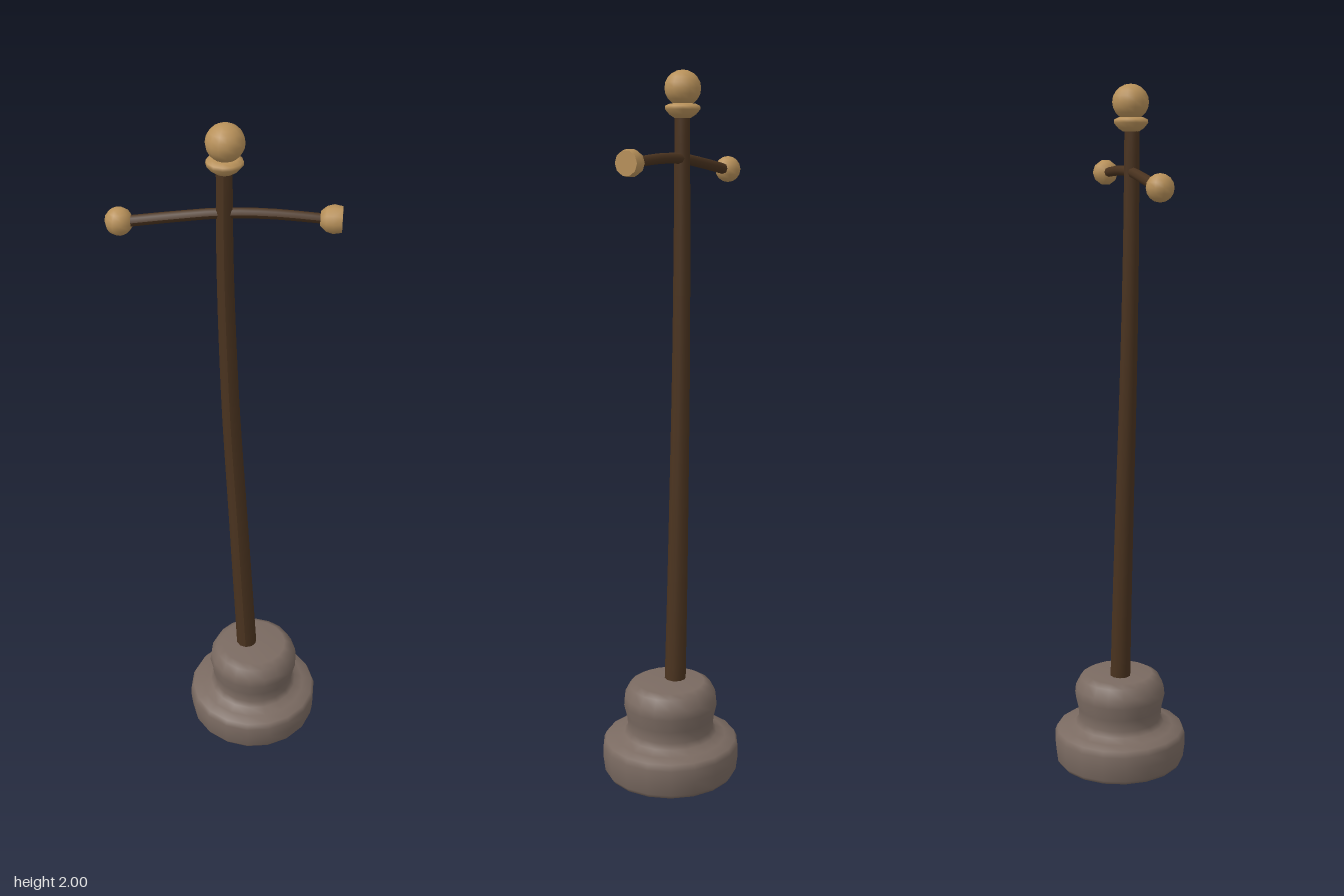
import * as THREE from 'three';

const paint = (name, color) => {
  const m = new THREE.MeshStandardMaterial({ color });
  m.name = name;
  return m;
};

const v2 = (pts) => pts.map(([r, y]) => new THREE.Vector2(r, y));
const v3 = (pts) => pts.map((p) => new THREE.Vector3(...p));

// Tube along a smooth path whose radius runs linearly from r0 to r1
function taperedTube(points, r0, r1, steps, sides) {
  const curve = new THREE.CatmullRomCurve3(v3(points));
  const geo = new THREE.TubeGeometry(curve, steps, 1, sides, false);
  const pos = geo.attributes.position;
  const p = new THREE.Vector3();
  for (let i = 0; i <= steps; i++) {
    const c = curve.getPointAt(i / steps);
    const r = r0 + (r1 - r0) * (i / steps);
    for (let j = 0; j <= sides; j++) {
      const k = i * (sides + 1) + j;
      p.fromBufferAttribute(pos, k).sub(c).multiplyScalar(r).add(c);
      pos.setXYZ(k, p.x, p.y, p.z);
    }
  }
  geo.computeVertexNormals();
  return geo;
}

export function createModel() {
  const stone = paint('stone', 0x7a6a61);
  const wood = paint('dark wood', 0x4a331f);
  const brass = paint('brass', 0xb8915a);

  const group = new THREE.Group();
  group.name = 'leaningPost';
  const add = (name, geo, mat, x = 0, y = 0, z = 0) => {
    const mesh = new THREE.Mesh(geo, mat);
    mesh.name = name;
    mesh.position.set(x, y, z);
    group.add(mesh);
    return mesh;
  };

  // Stepped stone foot with worn edges
  const foot = [
    [0.165, 0.004], [0.185, 0.008], [0.193, 0.02], [0.198, 0.06], [0.198, 0.095],
    [0.19, 0.112], [0.16, 0.119], [0.135, 0.13], [0.124, 0.145], [0.127, 0.18],
    [0.136, 0.22], [0.133, 0.245], [0.118, 0.274], [0.098, 0.285], [0, 0.287],
  ];
  add('base', new THREE.LatheGeometry(v2(foot), 18), stone, 0.098, 0, 0);

  // Dark underside
  const under = new THREE.CircleGeometry(0.166, 18).rotateX(Math.PI / 2);
  add('baseUnderside', under, wood, 0.098, 0.002, 0);

  // Leaning, slightly bowed pole
  add('pole', taperedTube([
    [0.078, 0.25, -0.004], [0.06, 0.55, -0.002], [0.044, 0.82, 0.001],
    [0.022, 1.2, 0.006], [0.008, 1.6, 0.01], [0.005, 1.89, 0.011],
  ], 0.031, 0.021, 20, 10), wood);

  // Bent crossbar
  add('crossbar', taperedTube([
    [-0.26, 1.728, 0.01], [-0.12, 1.75, 0.01], [0, 1.766, 0.01],
    [0.12, 1.77, 0.01], [0.27, 1.763, 0.01],
  ], 0.0155, 0.0135, 12, 8), wood);

  // Flared collar and ball finial
  const collar = [
    [0, 0.874], [0.022, 0.874], [0.036, 0.883], [0.048, 0.897],
    [0.047, 0.906], [0.034, 0.912], [0, 0.914],
  ];
  add('collar', new THREE.LatheGeometry(v2(collar), 12), brass, 0.006, 1, 0.009);
  const finial = add('finial', new THREE.SphereGeometry(0.05, 14, 10), brass, 0.007, 1.952, 0.008);
  finial.scale.y = 0.96;

  // Crossbar knobs: a round one, and one with a flattened outer face
  add('rightKnob', new THREE.SphereGeometry(0.037, 10, 8), brass, -0.263, 1.73, 0.01);
  const knob = [
    [0, -0.03], [0.019, -0.029], [0.032, -0.014], [0.037, 0.004], [0.033, 0.026], [0.033, 0.026], [0, 0.026],
  ];
  const flat = new THREE.LatheGeometry(v2(knob), 10).rotateZ(-Math.PI / 2);
  add('leftKnob', flat, brass, 0.275, 1.763, 0.009);

  return group;
}
